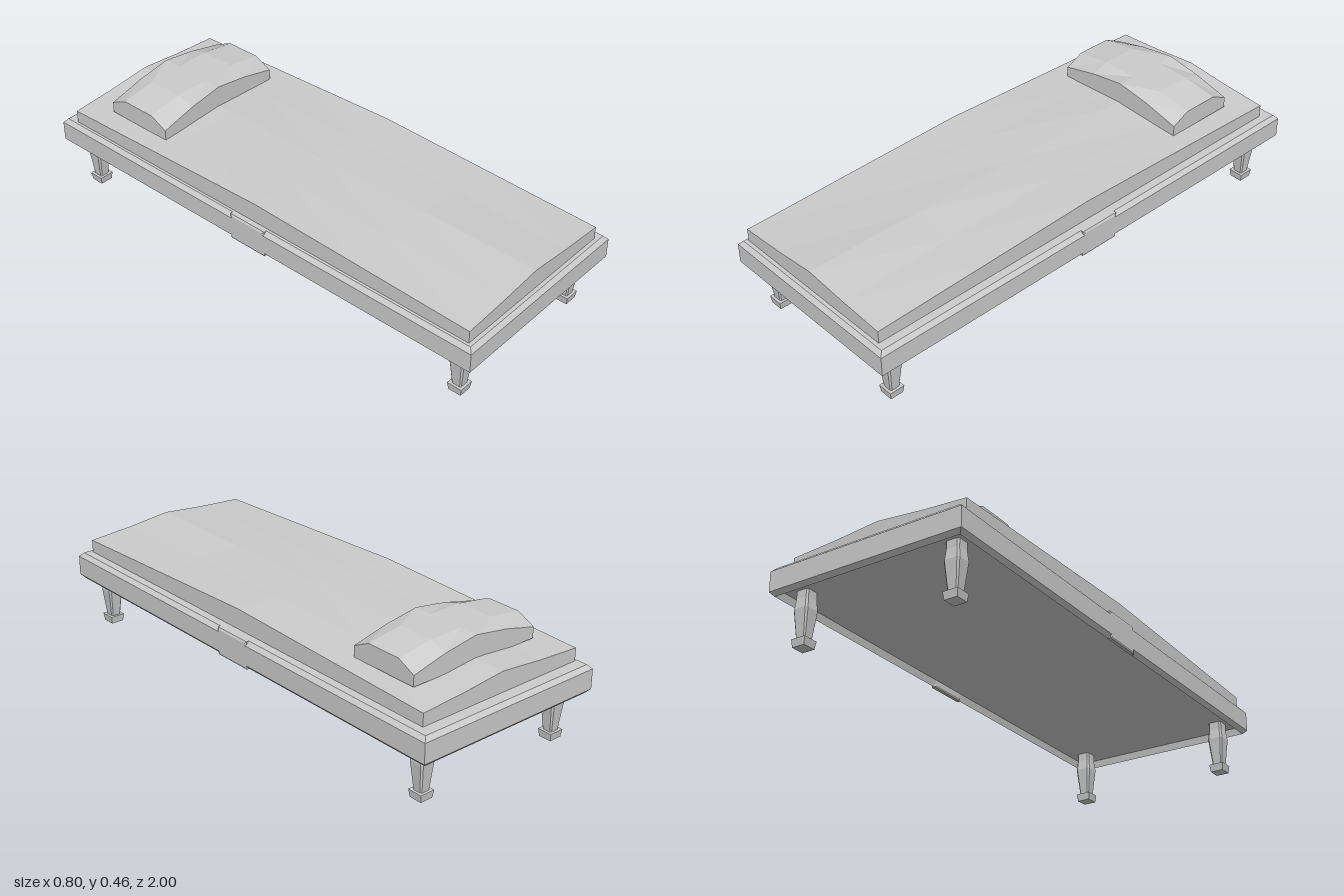
import * as THREE from 'three';

const material = new THREE.MeshStandardMaterial({ color: 0xcccccc, flatShading: true });

function add(parent, name, geometry, x = 0, y = 0, z = 0) {
  const mesh = new THREE.Mesh(geometry, material);
  mesh.name = name;
  mesh.position.set(x, y, z);
  parent.add(mesh);
  return mesh;
}

// Separate the faces so that every facet is flat
function faceted(geometry) {
  const geo = geometry.index ? geometry.toNonIndexed() : geometry;
  geo.computeVertexNormals();
  return geo;
}

// Box whose top surface is lowered by drop(u, v), with u and v from 0 (middle) to 1 (edge)
function cushion(width, height, depth, drop) {
  const geo = new THREE.BoxGeometry(width, height, depth, 4, 1, 4);
  geo.translate(0, height / 2, 0);
  const p = geo.attributes.position;
  for (let i = 0; i < p.count; i++) {
    if (p.getY(i) < height / 2) continue;
    const u = Math.abs(p.getX(i)) / (width / 2);
    const v = Math.abs(p.getZ(i)) / (depth / 2);
    p.setY(i, height - drop(u, v));
  }
  return faceted(geo);
}

// Bevelled slab with a shallow recess underneath: a square profile narrowed in x
function frameGeometry() {
  const profile = [[0, 0.21], [0.98, 0.21], [0.985, 0.18], [1, 0.196], [1, 0.274], [0.985, 0.29], [0, 0.29]];
  const points = profile.map(([r, y]) => new THREE.Vector2(r * Math.SQRT2, y));
  const geo = new THREE.LatheGeometry(points, 4).rotateY(Math.PI / 4);
  const p = geo.attributes.position;
  for (let i = 0; i < p.count; i++) {
    const x = p.getX(i);
    if (Math.abs(x) > 0.5) p.setX(i, x - Math.sign(x) * 0.6);
  }
  return faceted(geo);
}

// Block with a finer bevel, facing sideways
function blockGeometry() {
  const a = 0.075, b = 0.047;
  const shape = new THREE.Shape([[-a, -b], [a, -b], [a, b], [-a, b]].map(([x, y]) => new THREE.Vector2(x, y)));
  const geo = new THREE.ExtrudeGeometry(shape, {
    depth: 0.012, bevelEnabled: true, bevelSegments: 1, bevelSize: 0.008, bevelThickness: 0.004
  });
  return geo.translate(0, 0, -0.006).rotateY(Math.PI / 2);
}

// Chamfered square post, swelling near the top and narrow at the foot
function legGeometry() {
  const a = 1, c = 0.78;
  const outline = [[a, -c], [a, c], [c, a], [-c, a], [-a, c], [-a, -c], [-c, -a], [c, -a]];
  const shape = new THREE.Shape(outline.map(([x, y]) => new THREE.Vector2(x, y)));
  const geo = new THREE.ExtrudeGeometry(shape, { depth: 3, steps: 3, bevelEnabled: false });
  geo.rotateX(-Math.PI / 2);
  const heights = [0.03, 0.14, 0.18, 0.215];
  const radii = [0.02, 0.0315, 0.027, 0.027];
  const p = geo.attributes.position;
  for (let i = 0; i < p.count; i++) {
    const k = Math.round(p.getY(i));
    p.setXYZ(i, p.getX(i) * radii[k], heights[k], p.getZ(i) * radii[k]);
  }
  return faceted(geo);
}

export function createModel() {
  const bed = new THREE.Group();
  bed.name = 'bed';

  // Frame with a squarer block in the middle of each long side
  add(bed, 'frame', frameGeometry());
  const block = blockGeometry();
  for (const side of [-1, 1]) {
    add(bed, side > 0 ? 'leftSideBlock' : 'rightSideBlock', block, side * 0.39, 0.235, -0.005);
  }

  // Mattress, full height along its centre lines and lower at the corners
  add(bed, 'mattress', cushion(0.727, 0.09, 1.91,
    (u, v) => 0.03 * (Math.abs(u - 0.5) < 0.1 ? 0.6 : u) * v), -0.011, 0.28, 0.015);

  // Pillow, rounded down to its four corners
  const pillowDrop = [[0, 0, 0], [0, 0, 0.022], [0.022, 0.022, 0.057]];
  add(bed, 'pillow', cushion(0.57, 0.1, 0.29,
    (u, v) => pillowDrop[Math.round(u * 2)][Math.round(v * 2)]), -0.011, 0.355, -0.667);

  // Four legs on flared square feet
  const post = legGeometry();
  const foot = new THREE.CylinderGeometry(0.03 * Math.SQRT2, 0.026 * Math.SQRT2, 0.03, 4);
  foot.rotateY(Math.PI / 4);
  for (const x of [-1, 1]) {
    for (const z of [-1, 1]) {
      const leg = new THREE.Group();
      leg.name = (z > 0 ? 'front' : 'back') + (x > 0 ? 'Left' : 'Right') + 'Leg';
      leg.position.set(x * 0.314 + 0.001, 0, z * 0.903 - 0.001);
      add(leg, 'post', post);
      add(leg, 'foot', foot, 0, 0.015, 0);
      bed.add(leg);
    }
  }
  return bed;
}
